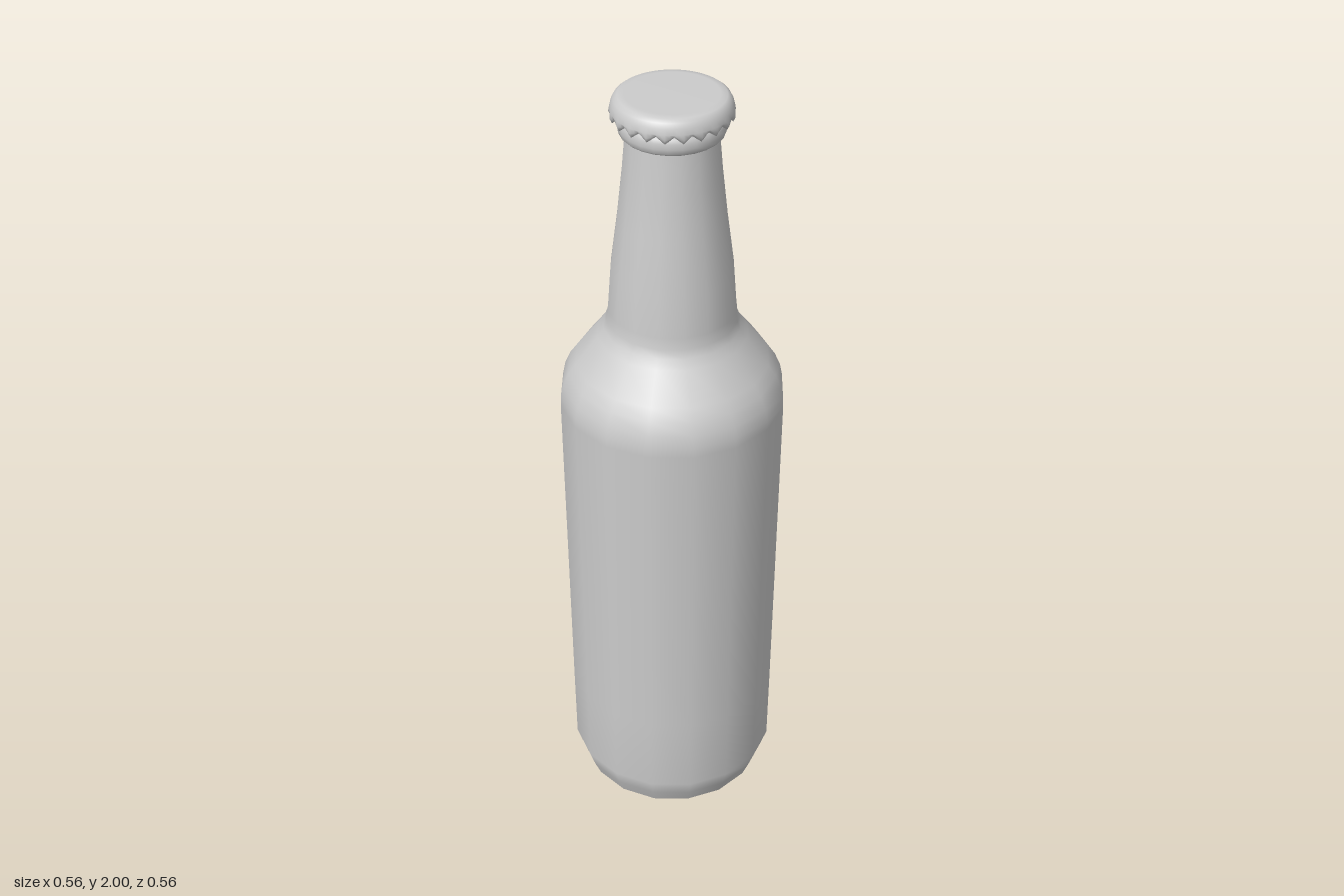
import * as THREE from 'three';
import { mergeVertices } from 'three/addons/utils/BufferGeometryUtils.js';

const SIDES = 16;
const TEETH = 21;

const material = new THREE.MeshStandardMaterial({ color: 0xcccccc });
const thinMaterial = new THREE.MeshStandardMaterial({ color: 0xcccccc, side: THREE.DoubleSide });

// Revolve a list of [radius, height] pairs
function lathe(profile, segments) {
  return new THREE.LatheGeometry(profile.map(([r, y]) => new THREE.Vector2(r, y)), segments);
}

function addPart(group, name, geometry, mat = material) {
  const mesh = new THREE.Mesh(geometry, mat);
  mesh.name = name;
  group.add(mesh);
  return mesh;
}

// Crown cap: the lower rim alternates between teeth and notches
function capGeometry() {
  const profile = [
    [0.118, 1.962], [0.139, 1.95], [0.144, 1.957], [0.144, 1.966],
    [0.141, 1.979], [0.135, 1.991], [0.126, 1.998], [0.11, 2], [0, 2],
  ];
  const geometry = lathe(profile, TEETH * 4);
  const pos = geometry.attributes.position;
  for (let i = 0; i < pos.count; i++) {
    const row = i % profile.length;
    const column = Math.floor(i / profile.length);
    if (row !== 1 && row !== 2) continue;
    const wave = Math.cos((column * Math.PI) / 2);
    const scale = 1 + 0.015 * wave;
    const drop = (row === 1 ? 0.008 : 0.004) * wave;
    pos.setXYZ(i, pos.getX(i) * scale, pos.getY(i) - drop, pos.getZ(i) * scale);
  }
  // Weld the seam so the normals stay smooth
  geometry.deleteAttribute('uv');
  geometry.deleteAttribute('normal');
  const welded = mergeVertices(geometry, 1e-5);
  welded.computeVertexNormals();
  return welded;
}

export function createModel() {
  const bottle = new THREE.Group();
  bottle.name = 'bottle';

  // Body, shoulder and tapering neck
  addPart(bottle, 'glassBody', lathe([
    [0.235, 0], [0.252, 0.04], [0.267, 0.085], [0.27, 0.3], [0.275, 0.75], [0.28, 1.18],
    [0.279, 1.205], [0.273, 1.235], [0.259, 1.268], [0.24, 1.295],
    [0.185, 1.367], [0.169, 1.389], [0.161, 1.41], [0.158, 1.44],
    [0.15, 1.55], [0.133, 1.68], [0.12, 1.8], [0.111, 1.905],
  ], SIDES));

  // Flat base
  const base = addPart(bottle, 'base', new THREE.CircleGeometry(0.235, SIDES));
  base.rotation.x = Math.PI / 2;

  // Rounded lip ring under the cap
  addPart(bottle, 'lipRing', lathe([
    [0.105, 1.902], [0.118, 1.902], [0.124, 1.908], [0.127, 1.92],
    [0.127, 1.934], [0.123, 1.944], [0.117, 1.95], [0.117, 1.97],
  ], 24));

  addPart(bottle, 'crownCap', capGeometry(), thinMaterial);

  return bottle;
}
